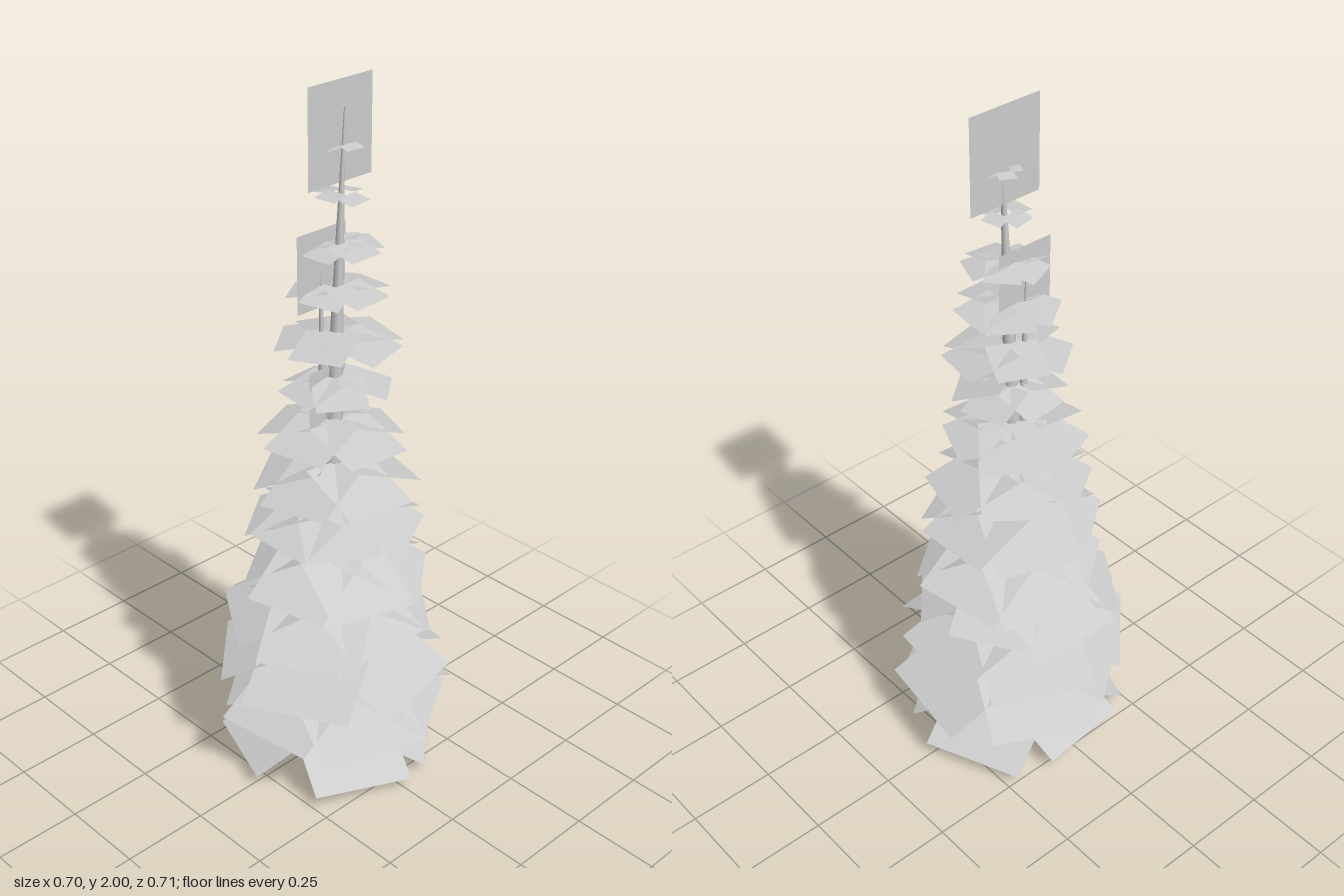
import * as THREE from 'three';

export function createModel() {
  const tree = new THREE.Group();
  tree.name = 'conifer';
  const grey = new THREE.MeshStandardMaterial({ color: 0xcccccc, side: THREE.DoubleSide });
  grey.name = 'light grey';

  // small seeded jitter in -1..1
  let seed = 11;
  const jitter = () => {
    seed = (seed * 16807) % 2147483647;
    return (seed / 2147483647) * 2 - 1;
  };
  const add = (geometry, name, parent = tree) => {
    const mesh = new THREE.Mesh(geometry, grey);
    mesh.name = name;
    parent.add(mesh);
    return mesh;
  };

  // tapering stems that lean gently towards their tips
  const leanX = y => 0.005 + 0.04 * (y / 1.93) ** 2;
  const leanZ = y => -0.008 + 0.018 * (y / 1.93);
  function stem(height, radius, tipX, tipZ, name) {
    const geo = new THREE.CylinderGeometry(0.002, radius, height, 9, 8, true);
    geo.translate(0, height / 2, 0);
    const p = geo.attributes.position;
    for (let i = 0; i < p.count; i++) {
      const t = p.getY(i) / height;
      p.setX(i, p.getX(i) + 0.005 + (tipX - 0.005) * t * t);
      p.setZ(i, p.getZ(i) - 0.008 + (tipZ + 0.008) * t);
    }
    geo.computeVertexNormals();
    add(geo, name);
  }
  stem(1.93, 0.053, 0.045, 0.01, 'trunk');
  stem(1.55, 0.04, -0.008, -0.025, 'secondStem');
  stem(1.2, 0.035, -0.005, 0, 'thirdStem');

  // upright foliage cards at the stem tips: x, y, width, height, z
  [
    [0.035, 1.868, 0.22, 0.264, 0.005],
    [-0.005, 1.508, 0.17, 0.215, -0.022],
    [-0.005, 1.145, 0.13, 0.18, 0],
  ].forEach(([x, y, w, h, z]) => {
    add(new THREE.PlaneGeometry(w, h), 'tipCard').position.set(x, y, z);
  });

  // drooping branch card running outwards at an angle from the trunk
  function branchCard(parent, angle, reach, width, drop, roll) {
    const inner = 0.015;
    const run = reach - inner;
    const length = Math.hypot(run, drop);
    const geo = new THREE.PlaneGeometry(length, width);
    geo.rotateX(-Math.PI / 2 + roll);
    geo.translate(length / 2, 0, 0);
    geo.rotateZ(-Math.atan2(drop, run));
    geo.translate(inner, 0, 0);
    geo.rotateY(-angle);
    add(geo, 'branchCard', parent).position.y = jitter() * 0.005;
  }

  // tiers: inner height, outer height, reach, card directions in degrees
  const ring = (start, count) => Array.from({ length: count }, (_, i) => start + (i * 360) / count + jitter() * 8);
  const tiers = [
    [0.17, 0.032, 0.305, [-23, 114, 49, 200, 265]],
    [0.31, 0.172, 0.33, [8, 110, -64, 60, 172, 232]],
    [0.435, 0.31, 0.318, [152, 80, 296, 8, 224]],
    [0.57, 0.45, 0.29, ring(155, 6)],
    [0.70, 0.58, 0.268, ring(-70, 6)],
    [0.83, 0.745, 0.243, ring(-60, 6)],
    [0.95, 0.878, 0.218, ring(20, 5)],
    [1.08, 1.032, 0.195, ring(100, 5)],
    [1.205, 1.168, 0.145, ring(50, 5)],
    [1.33, 1.30, 0.16, ring(10, 5)],
    [1.46, 1.44, 0.13, ring(-60, 5)],
    [1.58, 1.563, 0.105, ring(25, 5)],
    [1.71, 1.703, 0.068, ring(80, 4)],
    [1.835, 1.83, 0.05, ring(15, 4)],
  ];
  tiers.forEach(([top, low, reach, directions], k) => {
    const tier = new THREE.Group();
    tier.name = `branchTier${k + 1}`;
    tier.position.set(leanX(top), top, leanZ(top));
    directions.forEach((degrees, i) => {
      // the first few cards are full length, the rest vary
      const size = i < 3 ? 1 - 0.02 * i : 0.91 + 0.07 * jitter();
      const drop = (top - low) * size;
      branchCard(tier, THREE.MathUtils.degToRad(degrees), reach * size, reach * size * 0.98, drop, jitter() * 0.07);
    });
    tree.add(tier);
  });

  return tree;
}
